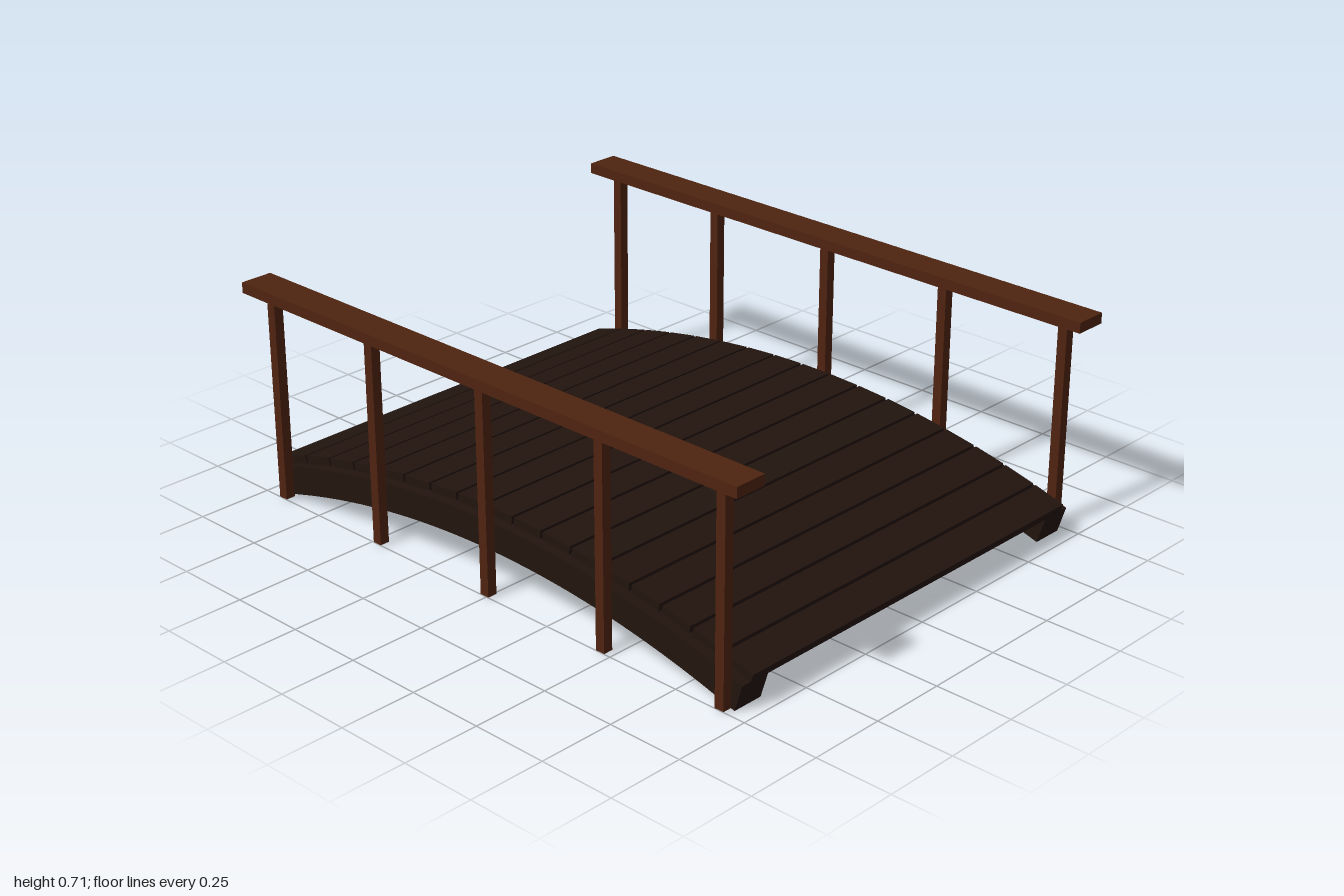
import * as THREE from 'three';

export function createModel() {
  const bridge = new THREE.Group();
  bridge.name = 'footbridge';
  const darkWood = new THREE.MeshStandardMaterial({ color: 0x22140e });
  const redWood = new THREE.MeshStandardMaterial({ color: 0x4f2410 });

  const add = (name, geometry, material, x, y, z) => {
    const mesh = new THREE.Mesh(geometry, material);
    mesh.name = name;
    mesh.position.set(x, y, z);
    bridge.add(mesh);
    return mesh;
  };

  // Arched side beams: a ring segment with radial ends
  const beamTop = 0.24, outerR = 3.307, innerR = 3.217, halfAngle = 0.297;
  const centreY = beamTop - outerR;
  const up = Math.PI / 2;
  const arch = new THREE.Shape();
  arch.absarc(0, centreY, outerR, up + halfAngle, up - halfAngle, true);
  arch.absarc(0, centreY, innerR, up - halfAngle, up + halfAngle, false);
  const beam = new THREE.ExtrudeGeometry(arch, { depth: 0.104, bevelEnabled: false, curveSegments: 28 });
  beam.translate(0, 0, -0.052);

  // Posts and handrails, mirrored front and back
  const post = new THREE.BoxGeometry(0.032, 0.675, 0.032);
  const rail = new THREE.BoxGeometry(2, 0.034, 0.107);
  for (const side of [1, -1]) {
    add('sideBeam', beam, darkWood, 0, 0, side * 0.672);
    add('handrail', rail, redWood, 0, 0.701, side * 0.737);
    for (const x of [-0.915, -0.473, -0.003, 0.466, 0.913]) {
      add('railPost', post, redWood, x, 0.351, side * 0.738);
    }
  }

  // Deck planks, each turned to follow the arch
  const plank = new THREE.BoxGeometry(0.107, 0.026, 1.385);
  const plankR = outerR + 0.014;
  for (let i = -8; i <= 8; i++) {
    const angle = i * 0.0352;
    const mesh = add('deckPlank', plank, darkWood,
      plankR * Math.sin(angle), centreY + plankR * Math.cos(angle), 0);
    mesh.rotation.z = -angle;
  }
  return bridge;
}
